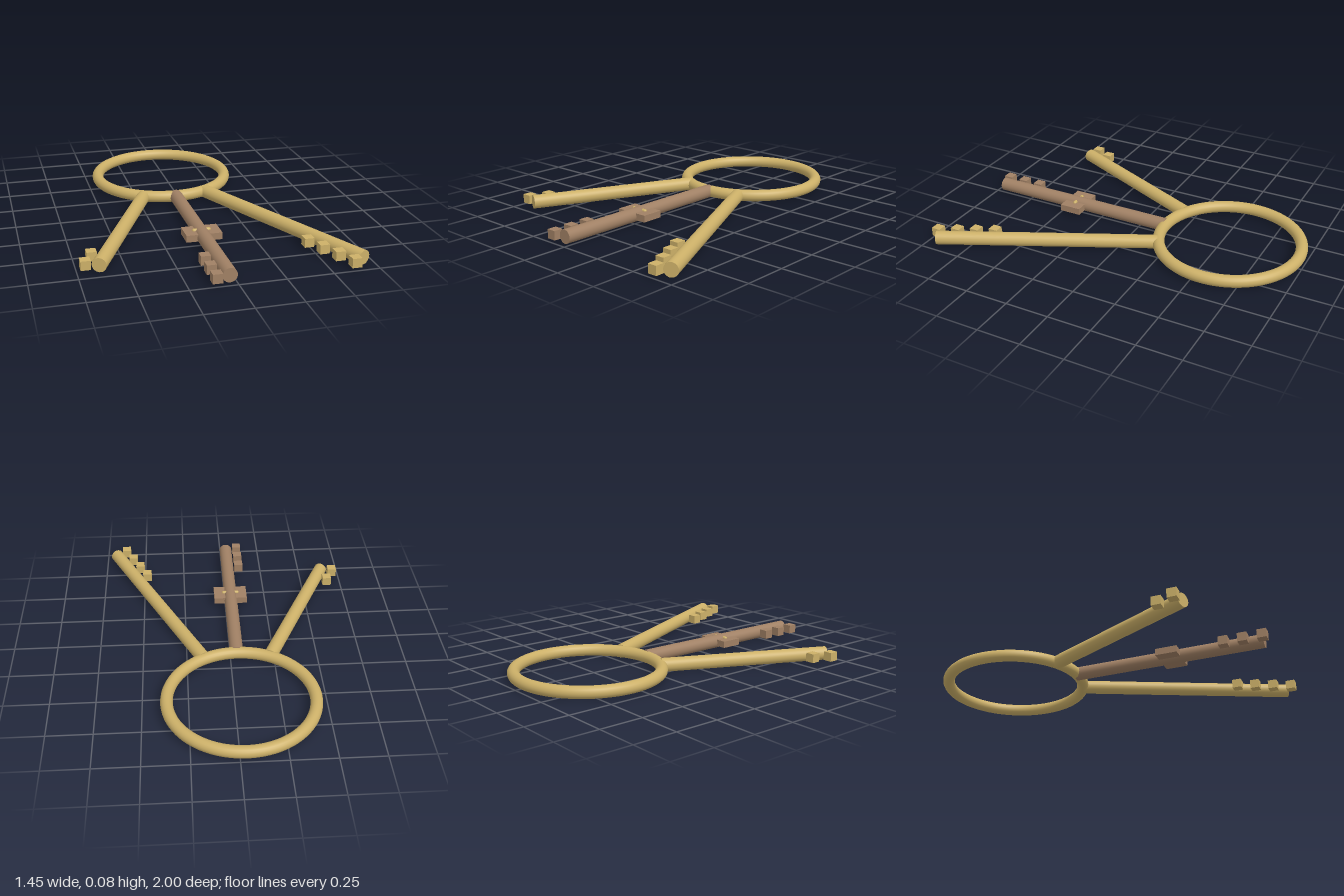
import * as THREE from 'three';

export function createModel() {
  const brass = new THREE.MeshStandardMaterial({ color: 0xccb068 });
  brass.name = 'brass';
  const bronze = new THREE.MeshStandardMaterial({ color: 0xa08064 });
  bronze.name = 'bronze';

  const model = new THREE.Group();
  model.name = 'keyRing';
  const Y = 0.039;

  const add = (parent, name, geometry, material, x, y, z) => {
    const mesh = new THREE.Mesh(geometry, material);
    mesh.name = name;
    mesh.position.set(x, y, z);
    parent.add(mesh);
    return mesh;
  };

  // Ring lying flat
  const ring = add(model, 'ring', new THREE.TorusGeometry(0.403, 0.034, 20, 96), brass, -0.035, Y, -0.563);
  ring.rotation.x = Math.PI / 2;

  // Key: round shaft between two ground points [x, z], plus square teeth
  const makeKey = (name, material, start, end, teeth) => {
    const key = new THREE.Group();
    key.name = name;
    const a = new THREE.Vector3(start[0], Y, start[1]);
    const b = new THREE.Vector3(end[0], Y, end[1]);
    const dir = b.clone().sub(a);
    const shaft = add(key, 'shaft', new THREE.CylinderGeometry(0.039, 0.039, dir.length(), 32), material,
      (a.x + b.x) / 2, Y, (a.z + b.z) / 2);
    shaft.quaternion.setFromUnitVectors(new THREE.Vector3(0, 1, 0), dir.normalize());
    const cube = new THREE.BoxGeometry(0.053, 0.051, 0.053);
    for (const [x, z] of teeth) add(key, 'tooth', cube, material, x, 0.041, z);
    model.add(key);
    return key;
  };

  // Evenly spaced tooth positions
  const row = (x, z, dx, dz, count) =>
    Array.from({ length: count }, (_, i) => [x + dx * i, z + dz * i]);

  makeKey('rightKey', brass, [-0.224, -0.2], [-0.638, 0.692], row(-0.659, 0.563, -0.046, 0.099, 2));
  makeKey('leftKey', brass, [0.154, -0.2], [0.688, 0.936], row(0.484, 0.675, 0.0467, 0.0985, 4));
  const middle = makeKey('middleKey', bronze, [-0.035, -0.16], [-0.035, 0.965],
    row(-0.106, 0.752, 0, 0.1085, 3));

  // Collar plate with a small brass inlay across the middle key
  add(middle, 'collar', new THREE.BoxGeometry(0.2, 0.039, 0.126), bronze, -0.034, Y, 0.427);
  const inlay = add(middle, 'inlay', new THREE.CapsuleGeometry(0.011, 0.084, 6, 16), brass, -0.035, 0.058, 0.427);
  inlay.rotation.z = Math.PI / 2;

  return model;
}
